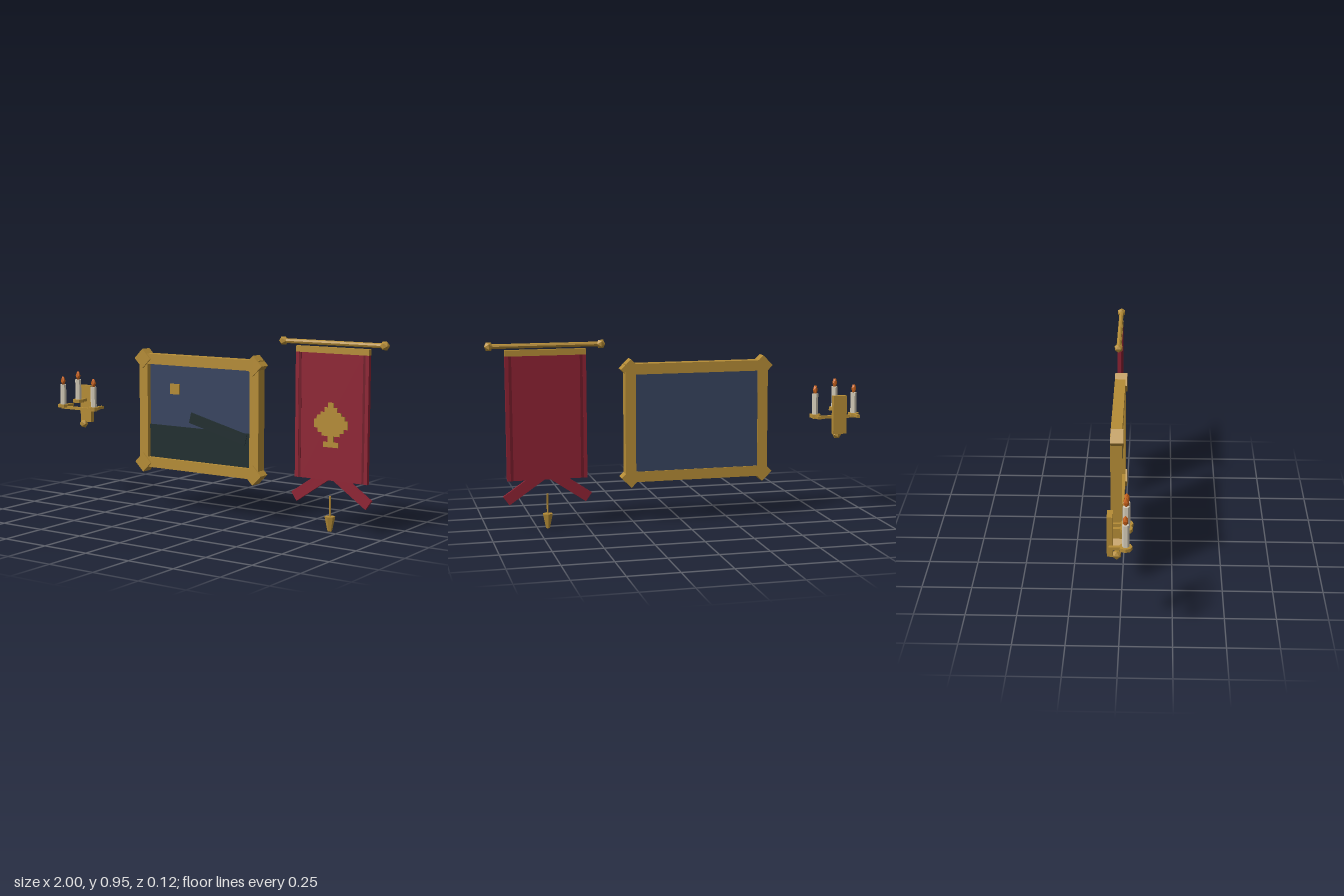
import * as THREE from 'three';

const mat = (name, color) => {
  const m = new THREE.MeshStandardMaterial({ color, flatShading: true });
  m.name = name;
  return m;
};

export function createModel() {
  const gold = mat('gold', 0xb58c36);
  const red = mat('red cloth', 0x8e2233);
  const darkRed = mat('dark red hem', 0x711a28);
  const blue = mat('night blue', 0x374460);
  const green = mat('dark green', 0x202d2f);
  const wax = mat('candle wax', 0xd6cdba);
  const flameOrange = mat('flame orange', 0xcc641c);

  const model = new THREE.Group();
  model.name = 'wallDecorations';
  const group = (name) => {
    const g = new THREE.Group();
    g.name = name;
    model.add(g);
    return g;
  };
  const put = (parent, name, geo, material, x, y, z) => {
    const m = new THREE.Mesh(geo, material);
    m.name = name;
    m.position.set(x, y, z);
    parent.add(m);
    return m;
  };
  // Box given by its limits
  const box = (parent, name, material, x0, x1, y0, y1, z0, z1) =>
    put(parent, name, new THREE.BoxGeometry(x1 - x0, y1 - y0, z1 - z0), material,
      (x0 + x1) / 2, (y0 + y1) / 2, (z0 + z1) / 2);
  const cylinder = (parent, name, material, rTop, rBottom, y0, y1, x, z, sides) =>
    put(parent, name, new THREE.CylinderGeometry(rTop, rBottom, y1 - y0, sides), material, x, (y0 + y1) / 2, z);
  const ball = (parent, name, x, y, z) =>
    put(parent, name, new THREE.IcosahedronGeometry(0.024, 0), gold, x, y, z);

  // Framed painting
  const painting = group('painting');
  const L = -0.457, R = 0.297, B = 0.217, T = 0.825, w = 0.054;
  box(painting, 'topRail', gold, L, R, T - w, T, -0.056, 0);
  box(painting, 'bottomRail', gold, L, R, B, B + w, -0.056, 0);
  box(painting, 'leftRail', gold, R - w, R, B + w, T - w, -0.056, 0);
  box(painting, 'rightRail', gold, L, L + w, B + w, T - w, -0.056, 0);
  for (const x of [-0.432, 0.267]) {
    for (const y of [0.24, 0.798]) {
      const corner = box(painting, 'frameCorner', gold, -0.0365, 0.0365, -0.0365, 0.0365, -0.055, 0.008);
      corner.position.x = x;
      corner.position.y = y;
      corner.rotation.z = Math.PI / 4;
    }
  }
  box(painting, 'sky', blue, L + w, R - w, B + w, T - w, -0.052, -0.026);
  box(painting, 'ground', green, L + w, R - w, B + w, 0.447, -0.026, -0.02);
  box(painting, 'moon', gold, -0.27, -0.21, 0.617, 0.672, -0.026, -0.018);
  const hill = put(painting, 'hill', new THREE.BoxGeometry(0.36, 0.056, 0.009), green, 0.036, 0.457, -0.0215);
  hill.rotation.z = -0.245;

  // Hanging banner
  const banner = group('banner');
  const bx = 0.698, bz = -0.042;
  const rod = put(banner, 'rod', new THREE.CylinderGeometry(0.012, 0.012, 0.56, 8), gold, bx, 0.93, bz);
  rod.rotation.z = Math.PI / 2;
  box(banner, 'headStrip', gold, bx - 0.203, bx + 0.203, 0.88, 0.91, -0.053, -0.03);
  box(banner, 'cloth', red, bx - 0.172, bx + 0.172, 0.254, 0.88, -0.05, -0.034);
  for (const s of [-1, 1]) {
    ball(banner, 'rodFinial', bx + s * 0.28, 0.93, bz);
    const hem = put(banner, 'hem', new THREE.BoxGeometry(0.018, 0.626, 0.021), red, bx + s * 0.194, 0.567, bz + 0.001);
    hem.name = s > 0 ? 'leftHem' : 'rightHem';
    put(banner, 'hemFold', new THREE.BoxGeometry(0.015, 0.626, 0.018), darkRed, bx + s * 0.1785, 0.567, bz);
    const tail = put(banner, 'tail', new THREE.BoxGeometry(0.22, 0.054, 0.015), red, bx + s * 0.119, 0.215, bz);
    tail.rotation.z = -s * 0.602;
  }

  // Stepped spade emblem: pairs of half width and top height, going down
  const steps = [[0.015, 0.64], [0.035, 0.616], [0.058, 0.592], [0.078, 0.576], [0.094, 0.555],
    [0.072, 0.513], [0.05, 0.492], [0.016, 0.475], [0.042, 0.445], [0.042, 0.42]];
  const side = [];
  steps.forEach(([h, y], i) => {
    if (i > 0) side.push([steps[i - 1][0], y]);
    if (i < steps.length - 1) side.push([h, y]);
  });
  side.unshift(side.shift());
  const outline = [...side, ...side.map(([h, y]) => [-h, y]).reverse()].map(([x, y]) => new THREE.Vector2(x, y));
  put(banner, 'emblem', new THREE.ExtrudeGeometry(new THREE.Shape(outline), { depth: 0.008, bevelEnabled: false }),
    gold, bx, 0, -0.035);

  // Tassel below the banner
  const tassel = group('tassel');
  cylinder(tassel, 'tasselCord', gold, 0.005, 0.005, 0.07, 0.177, bx, -0.033, 6);
  cylinder(tassel, 'tasselBell', gold, 0.027, 0.011, 0, 0.075, bx, -0.033, 6);

  // Three-candle wall sconce
  const sconce = group('sconce');
  const cx = -0.86, cz = 0.031;
  box(sconce, 'backPlate', gold, cx - 0.037, cx + 0.037, 0.42, 0.623, -0.057, -0.03);
  ball(sconce, 'plateKnob', cx, 0.411, -0.013);
  box(sconce, 'crossBar', gold, cx - 0.12, cx + 0.12, 0.492, 0.507, 0.016, 0.036);
  for (const s of [-1, 0, 1]) {
    const x = cx + s * 0.109;
    const y = s === 0 ? 0.535 : 0.5;
    box(sconce, 'arm', gold, x - 0.009, x + 0.009, y, y + 0.015, -0.045, 0.025);
    cylinder(sconce, 'cup', gold, 0.031, 0.031, y, y + 0.017, x, cz, 8);
    cylinder(sconce, 'candle', wax, 0.0165, 0.0165, y + 0.017, y + 0.127, x, cz, 6);
    const flame = put(sconce, 'flame', new THREE.IcosahedronGeometry(0.0135, 0), flameOrange, x, y + 0.147, cz);
    flame.scale.y = 1.95;
  }
  return model;
}
